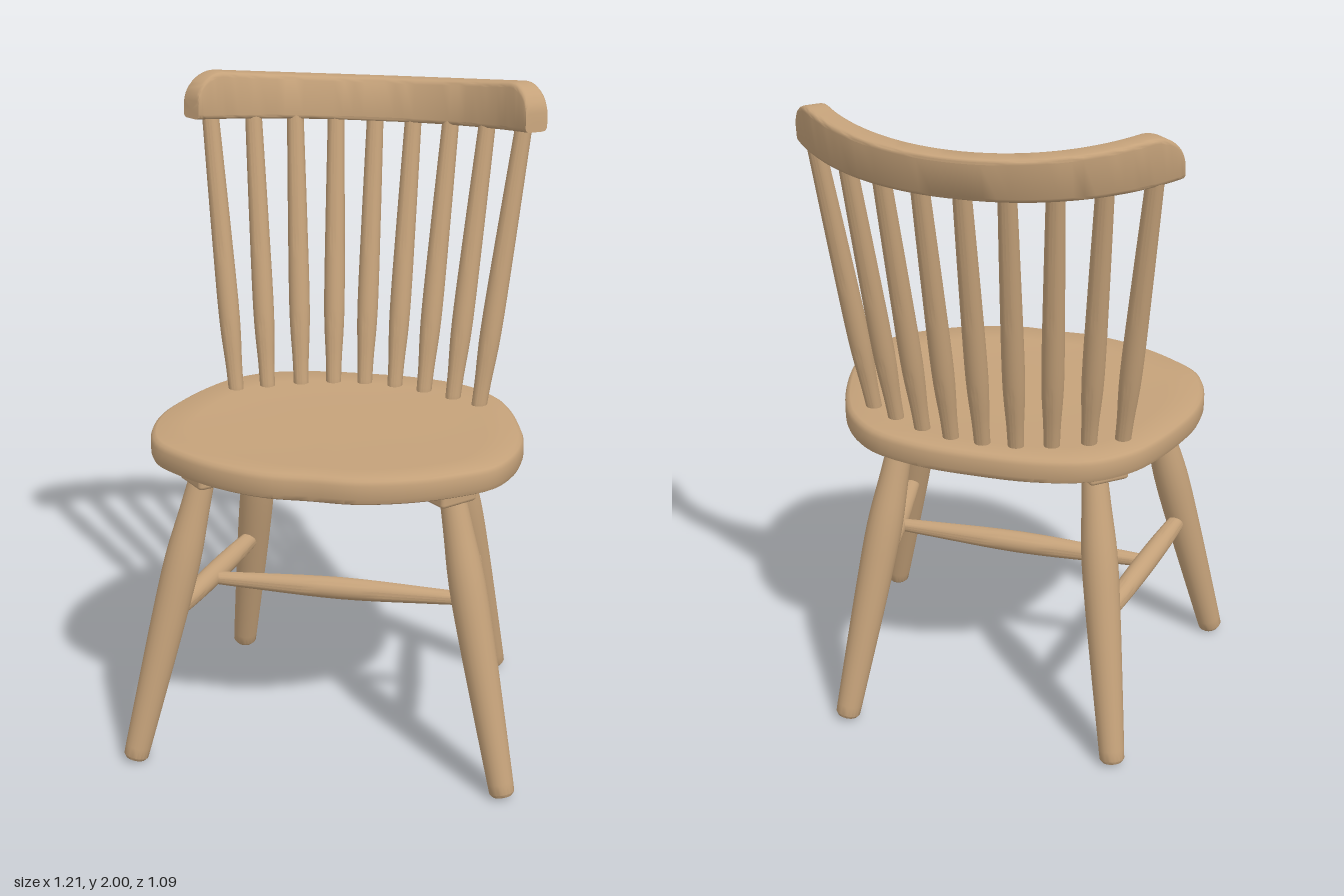
import * as THREE from 'three';
import { toCreasedNormals } from 'three/addons/utils/BufferGeometryUtils.js';
import { RoundedBoxGeometry } from 'three/addons/geometries/RoundedBoxGeometry.js';

const V = (x, y, z) => new THREE.Vector3(x, y, z);

// Skin a list of closed rings (counter-clockwise about the direction of travel) and cap both ends
function loft(rings, crease = 0.6) {
  const n = rings[0].length, last = (rings.length - 1) * n, pos = [], idx = [];
  rings.flat().forEach(p => pos.push(p.x, p.y, p.z));
  for (let i = 0; i < rings.length - 1; i++) {
    for (let j = 0; j < n; j++) {
      const a = i * n + j, b = i * n + (j + 1) % n;
      idx.push(a, b, b + n, a, b + n, a + n);
    }
  }
  for (const ring of [rings[0], rings[rings.length - 1]]) {
    const c = ring.reduce((s, p) => s.add(p), V(0, 0, 0)).divideScalar(n);
    pos.push(c.x, c.y, c.z);
  }
  const c0 = rings.length * n;
  for (let j = 0; j < n; j++) {
    const k = (j + 1) % n;
    idx.push(c0, k, j, c0 + 1, last + j, last + k);
  }
  const g = new THREE.BufferGeometry();
  g.setAttribute('position', new THREE.Float32BufferAttribute(pos, 3));
  g.setIndex(idx);
  return toCreasedNormals(g, crease);
}

// Turned rod from a to b; profile holds [fraction of length, radius]
function rod(a, b, profile, smooth = true) {
  const len = a.distanceTo(b);
  let pts = profile.map(([t, r]) => new THREE.Vector2(r, t * len));
  if (smooth) pts = new THREE.SplineCurve(pts).getPoints(20);
  pts = [new THREE.Vector2(0, 0), new THREE.Vector2(pts[0].x * 0.8, 0),
    new THREE.Vector2(pts[0].x, 0.01), ...pts.slice(1), new THREE.Vector2(0, len)];
  const g = toCreasedNormals(new THREE.LatheGeometry(pts, 20), 0.6);
  g.applyQuaternion(new THREE.Quaternion().setFromUnitVectors(V(0, 1, 0), b.clone().sub(a).normalize()));
  return g.translate(a.x, a.y, a.z);
}

function seatGeometry() {
  const half = [[0.14, 0.543], [0.3, 0.495], [0.42, 0.427], [0.51, 0.35], [0.555, 0.23], [0.562, 0.1],
    [0.535, -0.03], [0.49, -0.16], [0.44, -0.25], [0.34, -0.34], [0.18, -0.388]];
  const outline = [[0, 0.543], ...half, [0, -0.398], ...half.map(([x, z]) => [-x, z]).reverse()];
  const rim = new THREE.CatmullRomCurve3(outline.map(([x, z]) => V(x, 0, z)), true).getPoints(96).slice(0, -1);
  const levels = [[0.97, 0.936], [0.99, 0.942], [1, 0.957], [1, 0.997], [0.99, 1.01], [0.97, 1.016],
    [0.8, 1.012], [0.5, 1.008], [0.2, 1.006]];
  return loft(levels.map(([s, y]) => rim.map(p => V(p.x * s, y, 0.07 + (p.z - 0.07) * s))), 0.7);
}

// Bowed, backward-leaning top rail with rounded shoulders
function railGeometry() {
  const rings = [], steps = 56, end = 0.92, thick = 0.0375, round = 0.014;
  for (let i = 0; i <= steps; i++) {
    const s = Math.sin((i / steps - 0.5) * Math.PI), m = Math.abs(s), a = s * end;
    const u = Math.max(0, (m - 0.84) / 0.16);
    const drop = 1 - Math.sqrt(Math.max(0, 1 - u * u));
    const top = 1.965 + 0.036 * Math.min(1, m * m * 1.35) - 0.08 * drop;
    const bottom = 1.835 + 0.03 * m * m;
    const mid = (top + bottom) / 2, h = (top - bottom) / 2;
    const ring = [];
    for (let q = 0; q < 4; q++) {
      for (let k = 0; k < 4; k++) {
        const t = (q + k / 3) * Math.PI / 2;
        const sy = q === 0 || q === 3 ? 1 : -1, sz = q < 2 ? 1 : -1;
        const y = mid + sy * (h - round) + round * Math.cos(t);
        const d = sz * (thick - round) + round * Math.sin(t);
        const lean = (1.965 - y) * (0.27 - 0.14 * m);
        const r = 0.6725 - d;
        ring.push(V(r * Math.sin(a), y, 0.16 - r * Math.cos(a) + lean));
      }
    }
    rings.push(ring);
  }
  return loft(rings, 0.7);
}

export function createModel() {
  const chair = new THREE.Group();
  chair.name = 'chair';
  const wood = new THREE.MeshStandardMaterial({ color: 0xc5a27a });
  wood.name = 'wood';
  const add = (name, geometry) => {
    const mesh = new THREE.Mesh(geometry, wood);
    mesh.name = name;
    chair.add(mesh);
    return mesh;
  };

  add('seat', seatGeometry());
  add('topRail', railGeometry());

  // Back spindles: [base x, base z, top x, top z], mirrored except the middle one
  const spindles = [[0, -0.31, 0, -0.485], [0.1, -0.3, 0.125, -0.473], [0.2, -0.268, 0.25, -0.435],
    [0.3, -0.22, 0.372, -0.375], [0.39, -0.168, 0.492, -0.3]];
  const spindleProfile = [[0, 0.024], [0.1, 0.026], [0.28, 0.033], [0.6, 0.031], [1, 0.026]];
  spindles.forEach(([x0, z0, x1, z1], i) => {
    for (const side of i ? [1, -1] : [1]) {
      add('spindle', rod(V(side * x0, 0.995, z0), V(side * x1, 1.88, z1), spindleProfile));
    }
  });

  const legProfile = [[0, 0.038], [0.25, 0.046], [0.5, 0.053], [0.7, 0.055], [0.87, 0.045], [1, 0.038]];
  const sideProfile = [[0, 0.026], [0.25, 0.032], [0.5, 0.034], [0.75, 0.032], [1, 0.026]];
  for (const side of [1, -1]) {
    const name = side > 0 ? 'left' : 'right';
    // Splayed legs with mounting blocks
    add(name + 'FrontLeg', rod(V(side * 0.57, 0.008, 0.467), V(side * 0.375, 0.91, 0.298), legProfile));
    add(name + 'BackLeg', rod(V(side * 0.435, 0.008, -0.385), V(side * 0.305, 0.91, -0.172), legProfile));
    for (const [x, z, turn] of [[0.345, 0.285, -0.75], [0.31, -0.15, 0.85]]) {
      const block = add(name + 'LegBlock', new RoundedBoxGeometry(0.17, 0.07, 0.13, 2, 0.012));
      block.position.set(side * x, 0.915, z);
      block.rotation.y = side * turn;
    }
    // Side stretcher
    add(name + 'Stretcher', rod(V(side * 0.465, 0.465, 0.37), V(side * 0.37, 0.453, -0.28), sideProfile));
  }

  // Cross stretcher between the side stretchers
  add('crossStretcher', rod(V(-0.425, 0.458, 0.08), V(0.425, 0.458, 0.08),
    [[0, 0.019], [0.15, 0.025], [0.5, 0.035], [0.85, 0.025], [1, 0.019]]));

  return chair;
}
